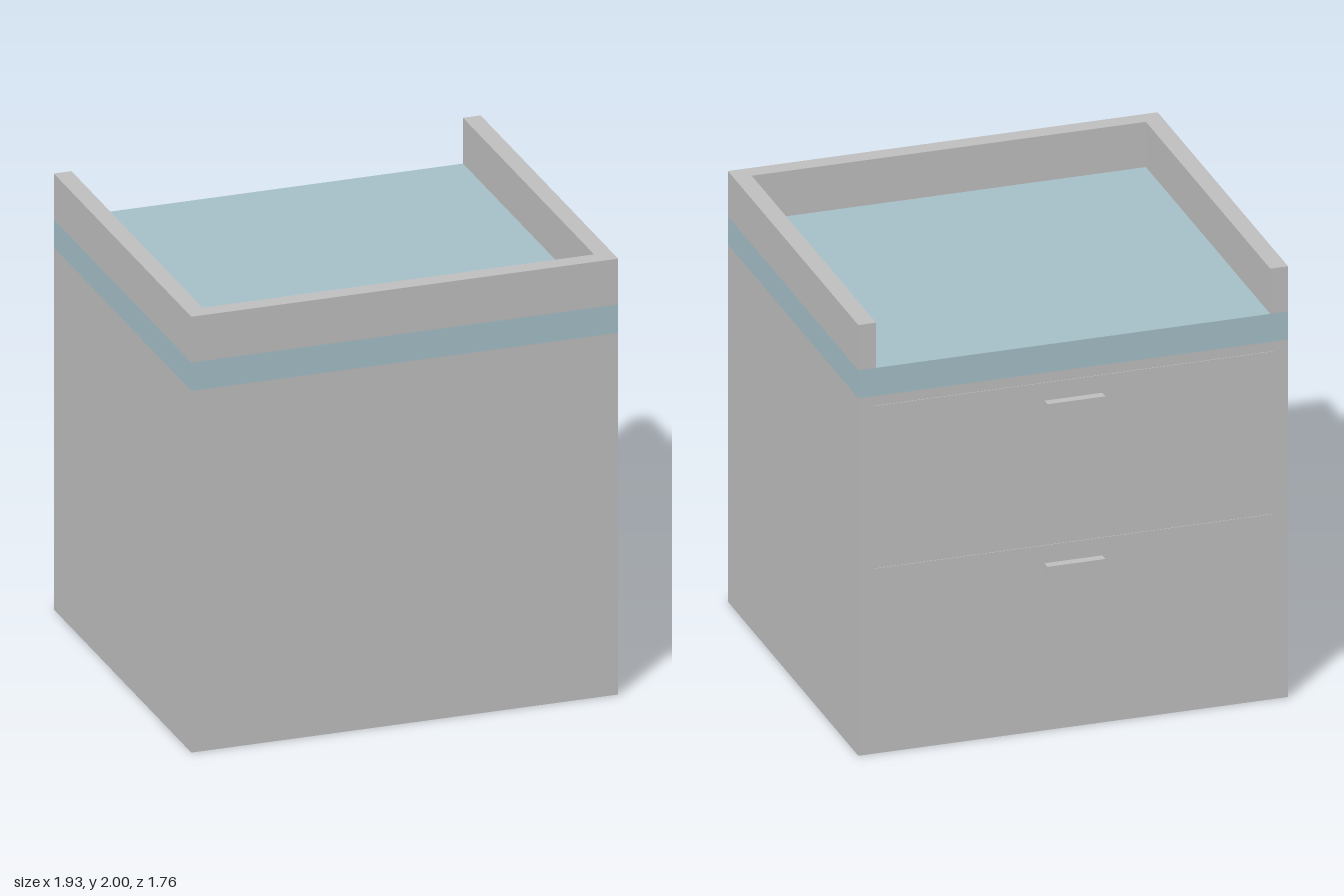
import * as THREE from 'three';

export function createModel() {
  const model = new THREE.Group();
  model.name = 'drawerCabinet';

  const grey = new THREE.MeshStandardMaterial({ color: 0xc0c0c0 });
  grey.name = 'grey';
  const blue = new THREE.MeshStandardMaterial({ color: 0xa6c1c9 });
  blue.name = 'paleBlue';

  // Box given by its extents on each axis
  function box(name, material, [x0, x1], [y0, y1], [z0, z1], parent = model) {
    const mesh = new THREE.Mesh(new THREE.BoxGeometry(x1 - x0, y1 - y0, z1 - z0), material);
    mesh.position.set((x0 + x1) / 2, (y0 + y1) / 2, (z0 + z1) / 2);
    mesh.name = name;
    parent.add(mesh);
    return mesh;
  }

  const W = 0.965, BACK = -0.84, FRONT = 0.88;
  const BAND = 1.66, TOP = 1.79, HEIGHT = 2, WALL = 0.08;

  // Cabinet body and the coloured slab that forms the worktop
  box('cabinetBody', grey, [-W, W], [0, BAND], [BACK, FRONT]);
  box('worktop', blue, [-W, W], [BAND, TOP], [BACK, FRONT]);

  // Raised rim on three sides, as one U-shaped extrusion
  const inner = W - WALL;
  const outline = new THREE.Shape([
    [-W, -FRONT], [W, -FRONT], [W, -BACK], [inner, -BACK],
    [inner, -(FRONT - WALL)], [-inner, -(FRONT - WALL)], [-inner, -BACK], [-W, -BACK],
  ].map(([x, y]) => new THREE.Vector2(x, y)));
  const rimGeometry = new THREE.ExtrudeGeometry(outline, { depth: HEIGHT - TOP, bevelEnabled: false });
  rimGeometry.rotateX(-Math.PI / 2);
  const rim = new THREE.Mesh(rimGeometry, grey);
  rim.position.y = TOP;
  rim.name = 'rim';
  model.add(rim);

  // Two drawers with bar handles on the back side
  [['lowerDrawer', 0.215], ['upperDrawer', 0.97]].forEach(([name, y]) => {
    const drawer = new THREE.Group();
    drawer.name = name;
    box('drawerFront', grey, [-0.9, 0.9], [y, y + 0.645], [BACK - 0.003, BACK], drawer);
    box('handle', grey, [-0.13, 0.13], [y + 0.52, y + 0.562], [BACK - 0.043, BACK - 0.003], drawer);
    model.add(drawer);
  });

  return model;
}
